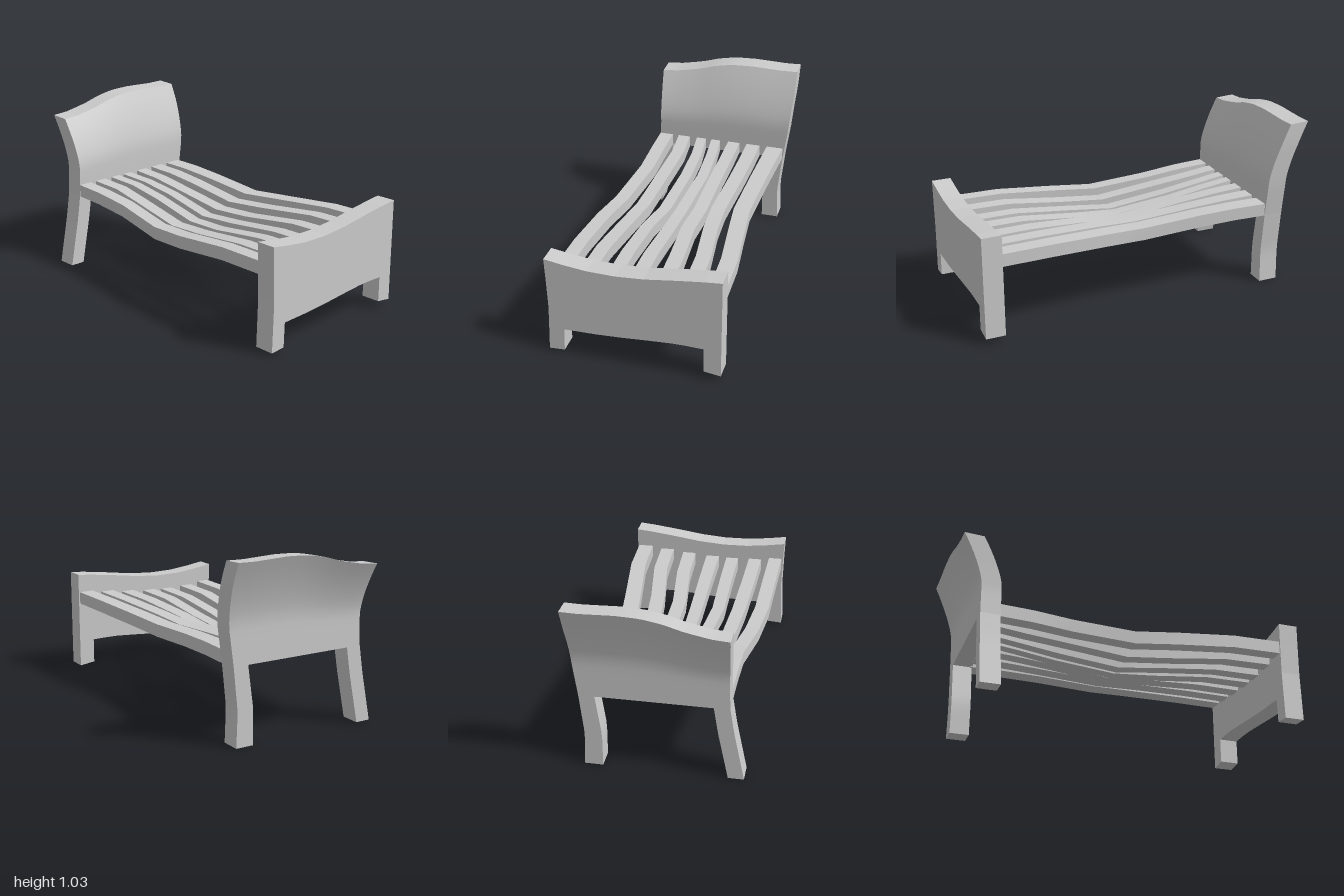
import * as THREE from 'three';

const material = new THREE.MeshStandardMaterial({ color: 0xcccccc });
const { lerp } = THREE.MathUtils;

// Piecewise linear lookup in a list of [position, value] pairs
function sample(pairs, t) {
  let i = 1;
  while (i < pairs.length - 1 && t > pairs[i][0]) i++;
  const [a, va] = pairs[i - 1], [b, vb] = pairs[i];
  return lerp(va, vb, THREE.MathUtils.clamp((t - a) / (b - a), 0, 1));
}

// Segmented unit box whose (u, v, w) in 0..1 are mapped to new positions
function warpedBox(name, sx, sy, sz, map) {
  const geo = new THREE.BoxGeometry(1, 1, 1, sx, sy, sz);
  const p = geo.attributes.position;
  for (let i = 0; i < p.count; i++) {
    p.setXYZ(i, ...map(p.getX(i) + 0.5, p.getY(i) + 0.5, p.getZ(i) + 0.5));
  }
  geo.computeVertexNormals();
  const mesh = new THREE.Mesh(geo, material);
  mesh.name = name;
  return mesh;
}

// Footboard: wavy board with two short legs cut into its outline
function makeFootboard() {
  const outline = [
    [-0.495, 0.015], [-0.405, 0.021], [-0.4, 0.163], [-0.22, 0.167], [-0.08, 0.175],
    [0.08, 0.188], [0.22, 0.198], [0.3, 0.199], [0.398, 0.197], [0.398, 0.047],
    [0.495, 0.034], [0.495, 0.64], [0.4, 0.631], [0.25, 0.612], [0.07, 0.586],
    [-0.09, 0.574], [-0.25, 0.577], [-0.38, 0.592], [-0.495, 0.61],
    [-0.49, 0.48], [-0.485, 0.3], [-0.49, 0.15],
  ].map(([x, y]) => new THREE.Vector2(x, y));
  const geo = new THREE.ExtrudeGeometry(new THREE.Shape(outline), { depth: 0.115, bevelEnabled: false });
  const mesh = new THREE.Mesh(geo, material);
  mesh.name = 'footboard';
  mesh.position.z = 0.885;
  return mesh;
}

// Headboard: panel leaning backwards towards its wavy top, on two splayed legs
function makeHeadboard() {
  const group = new THREE.Group();
  group.name = 'headboard';
  const base = 0.45, back = -0.885, depth = 0.115;
  const leftEdge = [[0, -0.47], [0.165, -0.437], [0.3, -0.41], [0.45, -0.387], [0.6, -0.38], [0.75, -0.385], [0.93, -0.395]];
  const rightEdge = [[0, 0.43], [0.2, 0.422], [0.45, 0.448], [0.65, 0.475], [0.9, 0.494], [1.03, 0.495]];
  const top = [[-0.395, 0.925], [-0.3, 0.932], [-0.16, 0.96], [-0.04, 0.996], [0.07, 1.016], [0.2, 1.021], [0.4, 1.014], [0.495, 1.017]];

  group.add(warpedBox('headboardPanel', 18, 12, 1, (u, v, w) => {
    const y = lerp(base, sample(top, lerp(-0.395, 0.495, u)) + 0.006 * (1 - w), v);
    const lean = 0.115 * Math.pow(Math.max(0, (v - 0.38) / 0.62), 1.45);
    return [lerp(sample(leftEdge, y), sample(rightEdge, y), u), y, back + w * depth - lean];
  }));

  group.add(warpedBox('rightRearLeg', 1, 8, 1, (u, v, w) => {
    const y = v * base;
    return [sample(leftEdge, y) + 0.09 * u, y, back + w * depth];
  }));
  group.add(warpedBox('leftRearLeg', 1, 8, 1, (u, v, w) => {
    const y = v * base;
    return [sample(rightEdge, y) - lerp(0.105, 0.09, v) * (1 - u), y, back + w * depth];
  }));
  return group;
}

// Slats: seven bent bars sagging between the boards
function makeSlats() {
  const group = new THREE.Group();
  group.name = 'slats';
  const stations = [0.89, 0.6, 0.25, 0, -0.35, -0.58, -0.78];
  const high = [0.45, 0.449, 0.428, 0.412, 0.436, 0.445, 0.444];
  const low = [0.405, 0.402, 0.362, 0.343, 0.395, 0.428, 0.444];
  // x of one edge at each station, width at front and rear, share of the lower sag
  const slats = [
    { x: [-0.48, -0.475, -0.465, -0.435, -0.387, -0.385, -0.385], width: [0.083, 0.085], sag: 0.55 },
    { x: [-0.345, -0.34, -0.32, -0.298, -0.265, -0.245, -0.26], width: [0.083, 0.077], sag: 0.9 },
    { x: [-0.19, -0.19, -0.188, -0.155, -0.12, -0.115, -0.135], width: [0.08, 0.063], sag: 1 },
    { x: [-0.06, -0.06, -0.055, -0.05, -0.014, -0.018, -0.035], width: [0.085, 0.06], sag: 0.9 },
    { x: [0.1, 0.09, 0.055, 0.06, 0.07, 0.08, 0.08], width: [0.085, 0.077], sag: 0.65 },
    { x: [0.25, 0.24, 0.19, 0.17, 0.195, 0.205, 0.205], width: [0.085, 0.088], sag: 0.3 },
    { x: [0.395, 0.385, 0.34, 0.31, 0.325, 0.335, 0.34], width: [0.092, 0.105], sag: 0 },
  ];
  slats.forEach(({ x, width, sag }, i) => {
    group.add(warpedBox(`slat${i + 1}`, 1, 1, stations.length - 1, (u, v, w) => {
      const k = Math.round((1 - w) * (stations.length - 1));
      return [x[k] + u * lerp(width[0], width[1], 1 - w), lerp(high[k], low[k], sag) + v * 0.075, stations[k]];
    }));
  });
  return group;
}

export function createModel() {
  const bed = new THREE.Group();
  bed.name = 'bed';
  bed.add(makeFootboard(), makeHeadboard(), makeSlats());
  return bed;
}
